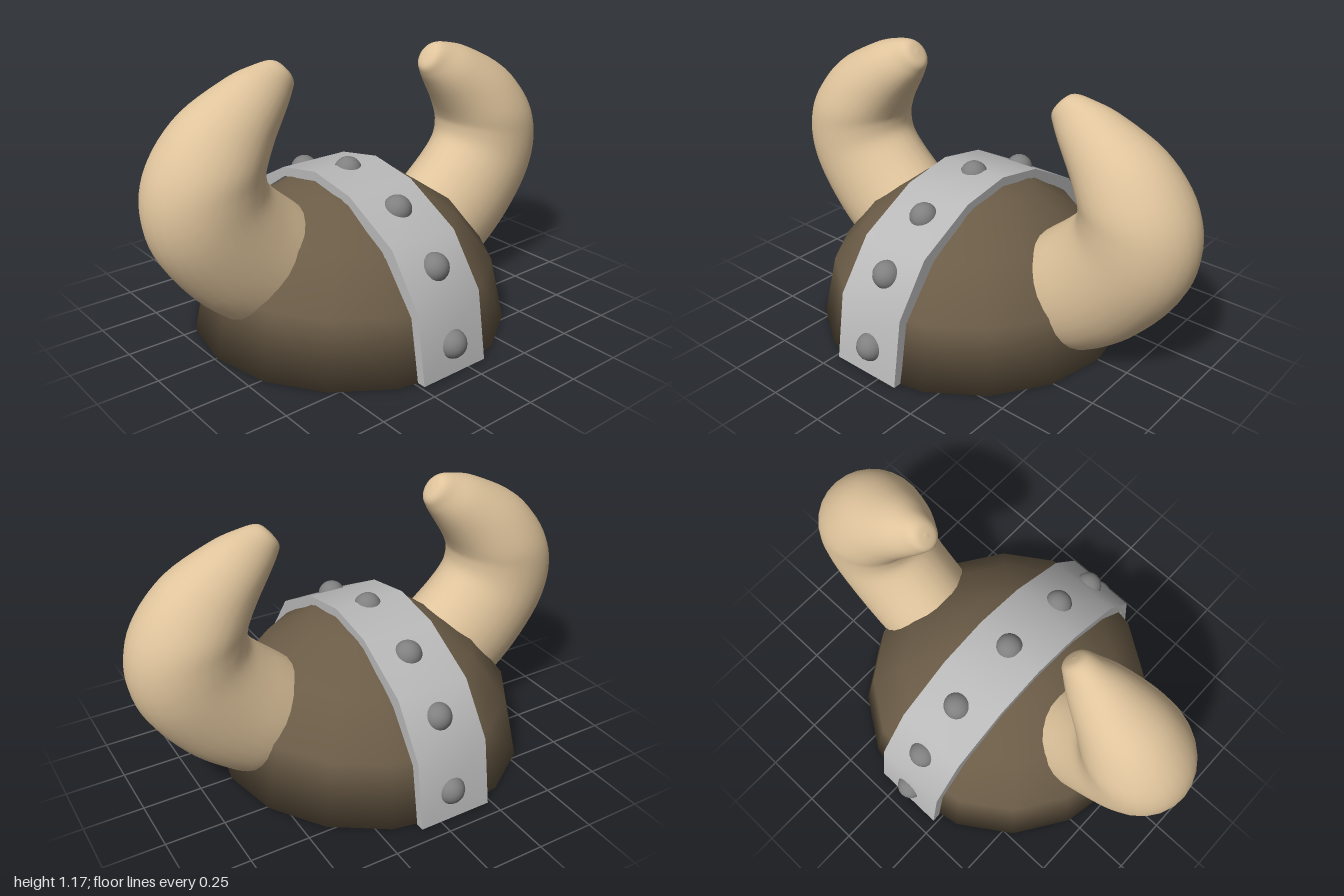
import * as THREE from 'three';
import { toCreasedNormals } from 'three/addons/utils/BufferGeometryUtils.js';

const CENTRE_X = -0.065;
const material = (color) => new THREE.MeshStandardMaterial({ color });

function addMesh(parent, name, geometry, mat) {
  const mesh = new THREE.Mesh(geometry, mat);
  mesh.name = name;
  parent.add(mesh);
  return mesh;
}

// Horn: oval rings strung between an inner and an outer curve.
// Each station: inner x, inner y, outer x, outer y, half depth in z.
function hornGeometry(stations, rings = 48, sides = 28) {
  const curve = (k) => new THREE.CatmullRomCurve3(
    stations.map((s) => new THREE.Vector3(s[k], s[k + 1], s[4])), false, 'catmullrom', 0.5);
  const inner = curve(0), outer = curve(2);
  const positions = [], index = [];
  for (let i = 0; i <= rings; i++) {
    const a = inner.getPoint(i / rings), b = outer.getPoint(i / rings);
    for (let j = 0; j < sides; j++) {
      const t = (j / sides) * Math.PI * 2;
      const m = (1 + Math.cos(t)) / 2;
      positions.push(a.x + (b.x - a.x) * m, a.y + (b.y - a.y) * m, a.z * Math.sin(t));
      if (i < rings) {
        const p = i * sides + j, q = i * sides + (j + 1) % sides;
        index.push(p, p + sides, q, q, p + sides, q + sides);
      }
    }
  }
  const g = new THREE.BufferGeometry();
  g.setAttribute('position', new THREE.Float32BufferAttribute(positions, 3));
  g.setIndex(index);
  g.computeVertexNormals();
  return g;
}

export function createModel() {
  const group = new THREE.Group();
  group.name = 'hornedHelmet';
  const leather = material(0x6b5c47);
  const bone = material(0xdfc49c);
  const steel = material(0xb9b9b9);
  const iron = material(0x808080);

  // Faceted dome with closed underside
  const profile = [[0, 0], [0.675, 0], [0.615, 0.27], [0.46, 0.47], [0.245, 0.612], [0, 0.655]]
    .map(([x, y]) => new THREE.Vector2(x, y));
  addMesh(group, 'dome', new THREE.LatheGeometry(profile, 16), leather).position.x = CENTRE_X;

  // Strap arching from front to back
  const outerArc = [[0.682, 0], [0.635, 0.29], [0.485, 0.5], [0.225, 0.64]];
  const innerArc = [[0.645, 0], [0.6, 0.26], [0.45, 0.45], [0.22, 0.6]];
  const arch = (arc, top) => [
    ...arc, [0, top], ...arc.map(([x, y]) => [-x, y]).reverse(),
  ].map(([x, y]) => new THREE.Vector2(x, y));
  const strapShape = new THREE.Shape([...arch(outerArc, 0.68), ...arch(innerArc, 0.64).reverse()]);
  const strapGeometry = new THREE.ExtrudeGeometry(strapShape, { depth: 0.325, bevelEnabled: false });
  strapGeometry.translate(0, 0, -0.1625).rotateY(Math.PI / 2);
  addMesh(group, 'strap', toCreasedNormals(strapGeometry, 0.7), steel).position.set(-0.072, 0, -0.004);

  // Round studs along the strap
  const studGeometry = new THREE.SphereGeometry(0.06, 20, 14);
  const studs = [[0.648, 0.115], [0.537, 0.4], [0.315, 0.572]];
  const studRow = [...studs, [0, 0.65], ...studs.map(([z, y]) => [-z, y])];
  for (const [z, y] of studRow) {
    addMesh(group, 'stud', studGeometry, iron).position.set(CENTRE_X, y, z);
  }

  // Curved horns; the right one is turned half round and set a little higher
  const horn = hornGeometry([
    [0.25, 0.45, 0.52, 0.04, 0.215],
    [0.34, 0.53, 0.63, 0.085, 0.222],
    [0.44, 0.615, 0.8, 0.225, 0.222],
    [0.5, 0.68, 0.95, 0.43, 0.222],
    [0.51, 0.74, 0.998, 0.62, 0.222],
    [0.495, 0.785, 0.955, 0.8, 0.215],
    [0.455, 0.85, 0.82, 0.97, 0.178],
    [0.4, 0.93, 0.62, 1.082, 0.125],
    [0.36, 0.99, 0.5, 1.12, 0.08],
    [0.345, 1.035, 0.42, 1.127, 0.05],
    [0.375, 1.09, 0.375, 1.09, 0],
  ]);
  addMesh(group, 'leftHorn', horn, bone);
  const rightHorn = addMesh(group, 'rightHorn', horn, bone);
  rightHorn.rotation.y = Math.PI;
  rightHorn.position.y = 0.045;

  return group;
}
